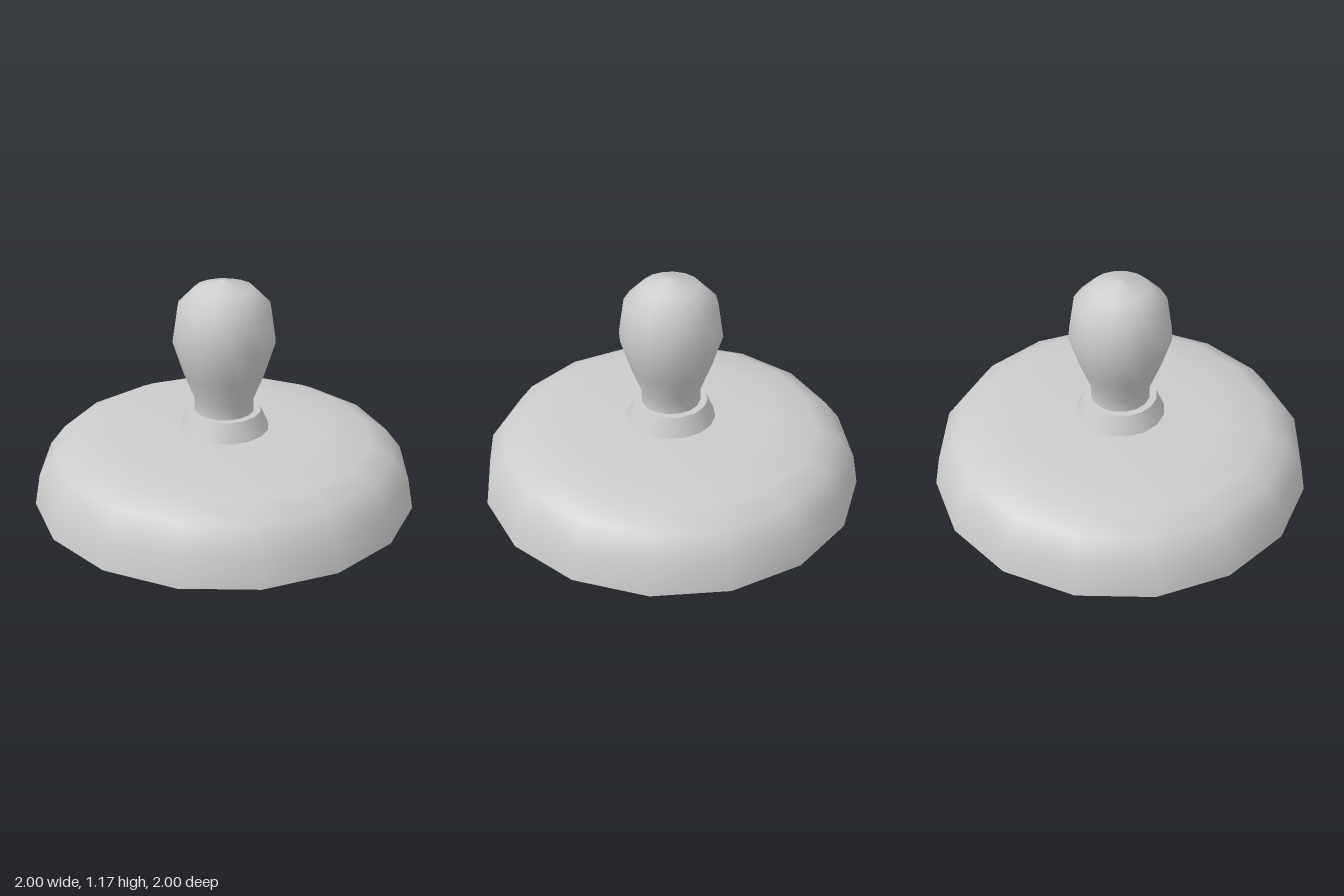
import * as THREE from 'three';

const SIDES = 16;
const material = new THREE.MeshStandardMaterial({ color: 0xcccccc });

// Smooth turned surface; profile runs bottom to top as [radius, height]
function turned(name, profile) {
  const points = profile.map(([r, y]) => new THREE.Vector2(r, y));
  const mesh = new THREE.Mesh(new THREE.LatheGeometry(points, SIDES), material);
  mesh.name = name;
  return mesh;
}

export function createModel() {
  const model = new THREE.Group();
  model.name = 'knobbedLid';

  // Flat underside and domed base
  model.add(turned('underside', [[0, 0], [1, 0]]));
  model.add(turned('base', [
    [1, 0], [0.97, 0.165], [0.885, 0.275], [0.765, 0.335], [0.54, 0.37], [0, 0.373],
  ]));

  // Tapered collar with a flat rim
  model.add(turned('collar', [[0.235, 0.37], [0.192, 0.47]]));
  model.add(turned('collarRim', [[0.192, 0.47], [0, 0.47]]));

  // Bulb-shaped knob
  model.add(turned('knob', [
    [0.155, 0.47], [0.155, 0.54], [0.21, 0.68], [0.265, 0.855],
    [0.237, 1.04], [0.148, 1.13], [0, 1.17],
  ]));

  return model;
}
